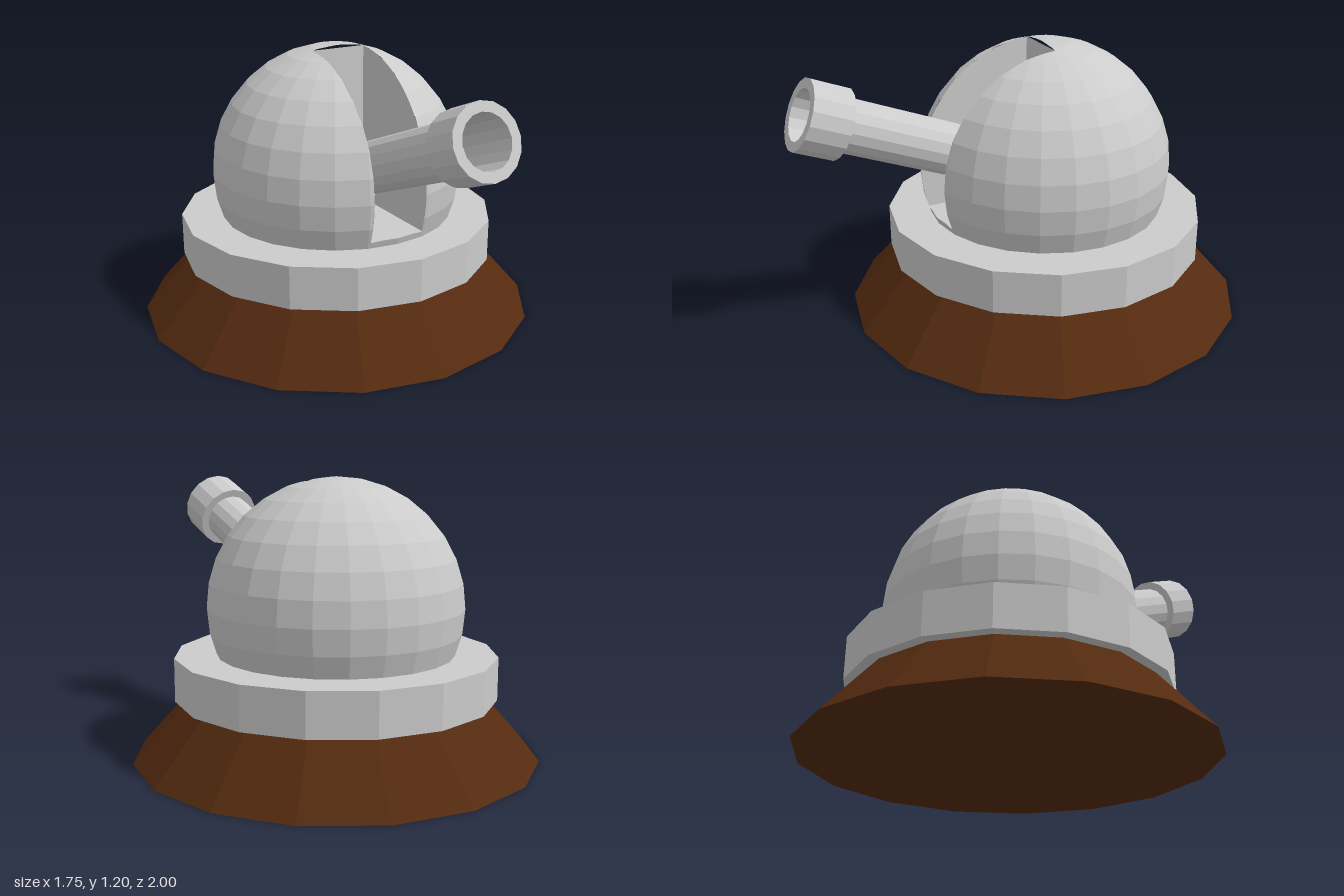
import * as THREE from 'three';

const CZ = -0.125;            // z of the building's axis
const DOME_Y = 0.645, DOME_R = 0.55;
const SLIT_X = 0.125, SLIT_Z = -0.1, SLIT_Y = 0.475, DOME_BASE = 0.43;

const grey = new THREE.MeshStandardMaterial({ color: 0xcccccc, flatShading: true });
const greyThin = new THREE.MeshStandardMaterial({ color: 0xcccccc, flatShading: true, side: THREE.DoubleSide });
const brown = new THREE.MeshStandardMaterial({ color: 0x552b10, flatShading: true });

function part(parent, name, geometry, material, x = 0, y = 0, z = 0) {
  const mesh = new THREE.Mesh(geometry, material);
  mesh.name = name;
  mesh.position.set(x, y, z);
  parent.add(mesh);
  return mesh;
}

// Keep the part of a polygon where sign * (p[axis] - value) >= 0
function clip(poly, [axis, sign, value]) {
  const out = [];
  poly.forEach((a, i) => {
    const b = poly[(i + 1) % poly.length];
    const da = sign * (a[axis] - value), db = sign * (b[axis] - value);
    if (da >= 0) out.push(a);
    if (da * db < 0) out.push(a.clone().lerp(b, da / (da - db)));
  });
  return out;
}

// Faceted dome with the viewing slit cut out of it
function domeGeometry() {
  const sphere = new THREE.SphereGeometry(DOME_R, 24, 16).toNonIndexed().translate(0, DOME_Y, CZ);
  const pos = sphere.attributes.position;
  const above = ['y', 1, DOME_BASE], right = ['x', 1, -SLIT_X], left = ['x', -1, SLIT_X];
  const regions = [
    [above, ['x', -1, -SLIT_X]],
    [above, ['x', 1, SLIT_X]],
    [above, right, left, ['z', -1, SLIT_Z]],
    [above, right, left, ['z', 1, SLIT_Z], ['y', -1, SLIT_Y]],
  ];
  const points = [];
  for (let i = 0; i < pos.count; i += 3) {
    const tri = [0, 1, 2].map(k => new THREE.Vector3().fromBufferAttribute(pos, i + k));
    for (const planes of regions) {
      const poly = planes.reduce(clip, tri);
      for (let k = 1; k + 1 < poly.length; k++) points.push(poly[0], poly[k], poly[k + 1]);
    }
  }
  const geometry = new THREE.BufferGeometry().setFromPoints(points);
  geometry.computeVertexNormals();
  return geometry;
}

// Flat side of the slit, an arc-edged sheet in the z-y plane
function slitSideGeometry() {
  const r = 0.533;
  const a0 = Math.asin((SLIT_Y - DOME_Y) / r), a1 = Math.acos((SLIT_Z - CZ) / r);
  const shape = new THREE.Shape();
  shape.moveTo(SLIT_Z, SLIT_Y);
  shape.lineTo(CZ + r * Math.cos(a0), SLIT_Y);
  shape.absarc(CZ, DOME_Y, r, a0, a1, false);
  shape.closePath();
  return new THREE.ShapeGeometry(shape, 16).rotateY(-Math.PI / 2);
}

const lathe = points => new THREE.LatheGeometry(points.map(p => new THREE.Vector2(...p)), 16);

export function createModel() {
  const model = new THREE.Group();
  model.name = 'observatory';

  // Ground mound and ring wall
  part(model, 'mound', new THREE.CylinderGeometry(0.645, 0.875, 0.26, 16), brown, 0, 0.13, CZ);
  part(model, 'ringWall', new THREE.CylinderGeometry(0.693, 0.693, 0.185, 16), grey, 0, 0.3525, CZ);

  // Dome and the inside faces of its slit
  const dome = new THREE.Group();
  dome.name = 'dome';
  model.add(dome);
  part(dome, 'domeShell', domeGeometry(), grey);
  for (const s of [-1, 1]) part(dome, s > 0 ? 'slitSideLeft' : 'slitSideRight', slitSideGeometry(), greyThin, s * SLIT_X);
  const wallH = 1.18 - SLIT_Y, floorD = 0.385 - SLIT_Z;
  part(dome, 'slitBack', new THREE.PlaneGeometry(2 * SLIT_X, wallH), greyThin, 0, SLIT_Y + wallH / 2, SLIT_Z);
  part(dome, 'slitFloor', new THREE.PlaneGeometry(2 * SLIT_X, floorD).rotateX(-Math.PI / 2), greyThin,
    0, SLIT_Y, SLIT_Z + floorD / 2);

  // Telescope, built along +y and tipped towards the front
  const telescope = new THREE.Group();
  telescope.name = 'telescope';
  telescope.position.set(0, 0.632, -0.038);
  telescope.rotation.x = THREE.MathUtils.degToRad(68);
  model.add(telescope);
  const L = 1.06, capL = 0.17, bore = 0.107;
  part(telescope, 'mount', new THREE.BoxGeometry(0.25, 0.09, 0.25), grey, 0, -0.045, 0);
  part(telescope, 'tube', lathe([[0, 0], [0.112, 0], [0.112, L - capL]]), grey);
  part(telescope, 'lensHood', lathe([
    [0.112, L - capL], [0.148, L - capL], [0.148, L], [bore, L], [bore, L - 0.36], [0, L - 0.36],
  ]), grey);

  return model;
}
